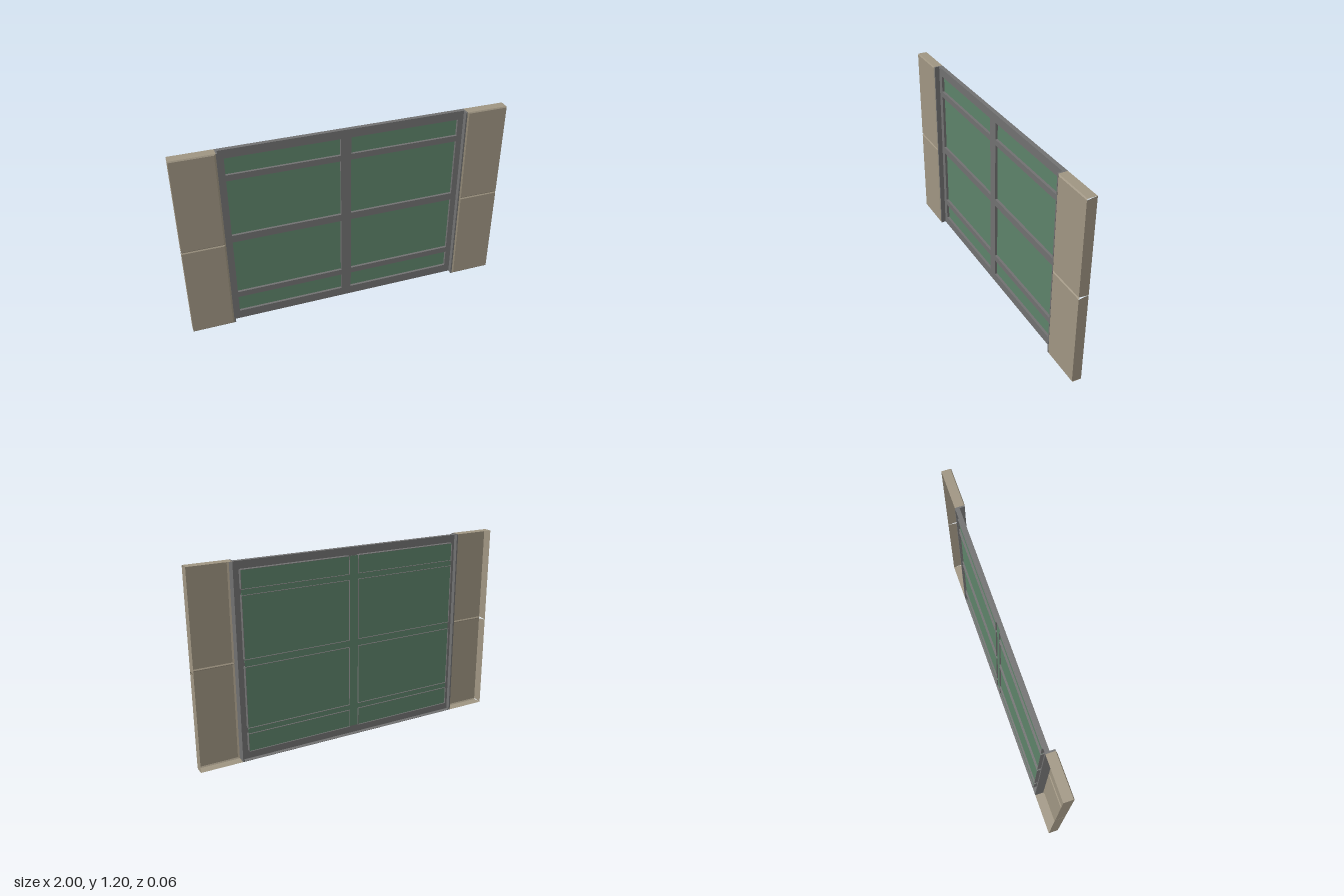
import * as THREE from 'three';

const H = 1.195, BACK = -0.03, FRONT = 0.03, SHEET = -0.004;
const T = 0.002; // thickness of thin plates

export function createModel() {
  const mat = (name, color) => {
    const m = new THREE.MeshStandardMaterial({ color, side: THREE.DoubleSide });
    m.name = name;
    return m;
  };
  const wallMat = mat('tan wall', 0x9f9582);
  const frameMat = mat('grey frame', 0x717171);
  const glassMat = mat('green glass', 0x5d8269);

  const root = new THREE.Group();
  root.name = 'windowWall';

  // box given by its limits on each axis
  const box = (parent, name, m, x0, x1, y0, y1, z0, z1) => {
    const mesh = new THREE.Mesh(new THREE.BoxGeometry(x1 - x0, y1 - y0, z1 - z0), m);
    mesh.position.set((x0 + x1) / 2, (y0 + y1) / 2, (z0 + z1) / 2);
    mesh.name = name;
    parent.add(mesh);
  };
  // four-cornered face
  const quad = (parent, name, m, a, b, c, d) => {
    const g = new THREE.BufferGeometry();
    g.setAttribute('position', new THREE.Float32BufferAttribute([a, b, c, a, c, d].flat(), 3));
    g.computeVertexNormals();
    const mesh = new THREE.Mesh(g, m);
    mesh.name = name;
    parent.add(mesh);
  };

  // side walls: open-backed shells with two bevelled front panels each
  for (const s of [1, -1]) {
    const wall = new THREE.Group();
    wall.name = s > 0 ? 'leftWall' : 'rightWall';
    root.add(wall);
    const face = (name, ...p) => {
      const q = p.map(([x, y, z]) => [x * s, y, z]);
      quad(wall, name, wallMat, ...(s > 0 ? q : q.reverse()));
    };
    const xi = 0.744, xb = 0.754, zb = 0.025, b = 0.007;
    for (const [y0, y1] of [[0, H / 2], [H / 2, H]]) {
      face('frontPanel', [xb, y0 + b, FRONT], [1, y0 + b, FRONT], [1, y1 - b, FRONT], [xb, y1 - b, FRONT]);
      face('panelBevelTop', [xb, y1 - b, FRONT], [1, y1 - b, FRONT], [1, y1, zb], [xi, y1, zb]);
      face('panelBevelBottom', [xi, y0, zb], [1, y0, zb], [1, y0 + b, FRONT], [xb, y0 + b, FRONT]);
      face('panelBevelInner', [xi, y0, zb], [xb, y0 + b, FRONT], [xb, y1 - b, FRONT], [xi, y1, zb]);
      // outer end follows the panel bevels
      face('outerEnd', [1, y0, BACK], [1, y1, BACK], [1, y1 - b, FRONT], [1, y0 + b, FRONT]);
    }
    face('wallTop', [xi, H, zb], [1, H, zb], [1, H, BACK], [xi, H, BACK]);
    face('wallBottom', [xi, 0, BACK], [1, 0, BACK], [1, 0, zb], [xi, 0, zb]);

    // jamb between wall and window
    const x0 = s > 0 ? 0.735 : -0.744, x1 = s > 0 ? 0.744 : -0.735;
    box(root, 'jamb', frameMat, x0, x1, 0, H, BACK, 0.026);
  }

  // window frame sheet with eight openings
  const cols = [[-0.7, -0.031], [0.031, 0.7]];
  const rows = [[0.057, 0.168], [0.206, 0.582], [0.628, 0.998], [1.035, 1.142]];
  const rect = (p, x0, y0, x1, y1) =>
    p.moveTo(x0, y0).lineTo(x1, y0).lineTo(x1, y1).lineTo(x0, y1).lineTo(x0, y0);
  const sheet = rect(new THREE.Shape(), -0.736, 0, 0.736, H);
  const reveals = new THREE.Group();
  reveals.name = 'openingReveals';
  for (const [x0, x1] of cols) for (const [y0, y1] of rows) {
    sheet.holes.push(rect(new THREE.Path(), x0, y0, x1, y1));
    // thin sides reaching back past the glass
    box(reveals, 'revealLeft', frameMat, x1, x1 + T, y0, y1, BACK, SHEET - 0.0005);
    box(reveals, 'revealRight', frameMat, x0 - T, x0, y0, y1, BACK, SHEET - 0.0005);
    box(reveals, 'revealTop', frameMat, x0, x1, y1, y1 + T, BACK, SHEET - 0.0005);
    box(reveals, 'revealBottom', frameMat, x0, x1, y0 - T, y0, BACK, SHEET - 0.0005);
  }
  const frame = new THREE.Mesh(new THREE.ShapeGeometry(sheet), frameMat);
  frame.position.z = SHEET;
  frame.name = 'windowFrame';
  root.add(frame, reveals);

  // outer top and bottom edges of the frame
  box(root, 'frameTopEdge', frameMat, -0.736, 0.736, H - T, H, BACK, SHEET - 0.0005);
  box(root, 'frameBottomEdge', frameMat, -0.736, 0.736, 0, T, BACK, SHEET - 0.0005);

  // one glass sheet behind all openings
  box(root, 'glass', glassMat, -0.7, 0.7, 0.057, 1.142, -0.022, -0.02);
  return root;
}
